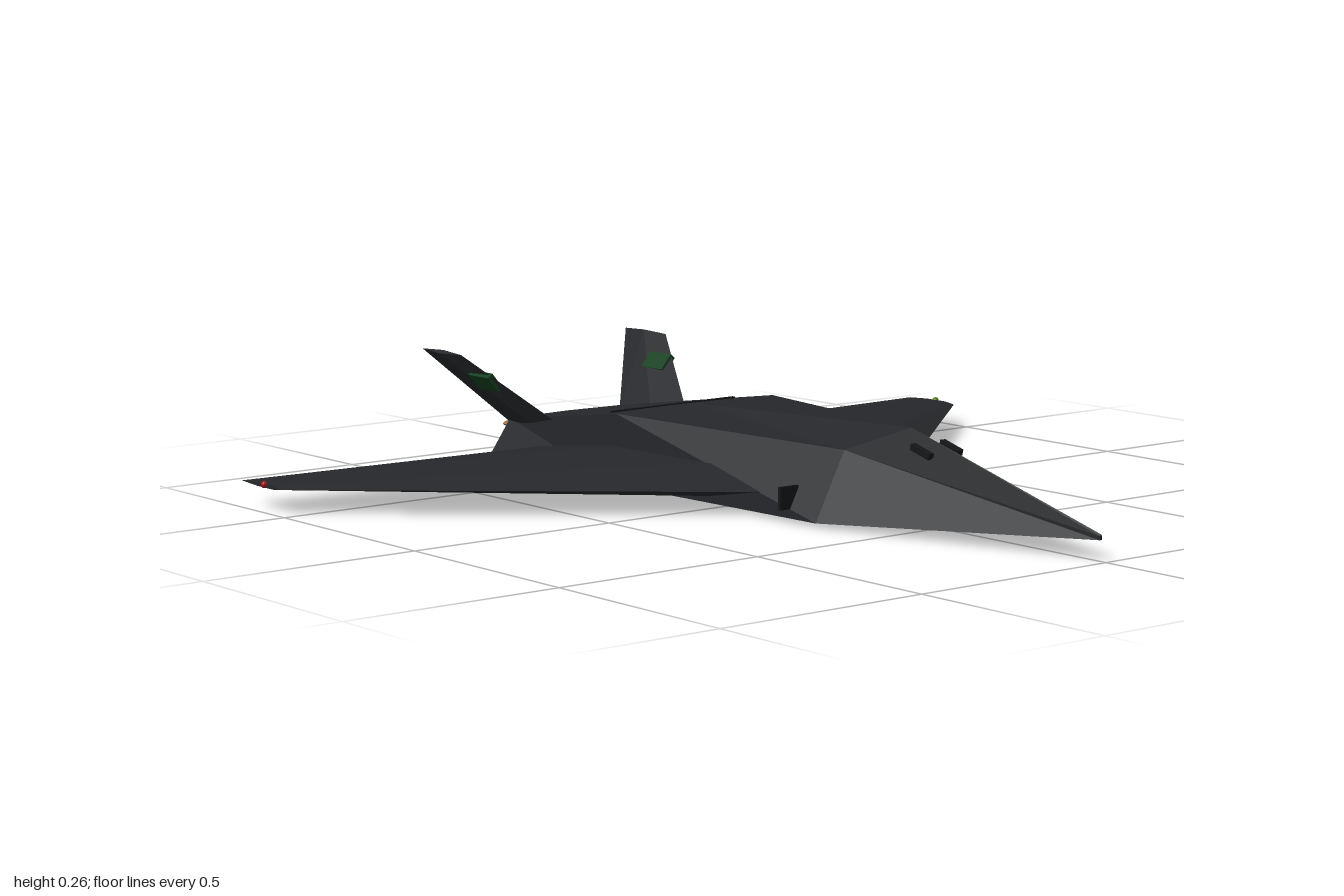
import * as THREE from 'three';

const paint = (color) => new THREE.MeshStandardMaterial({ color, flatShading: true });
const skin = paint(0x25272a);
const dark = paint(0x151618);
const bronze = paint(0x9a7045);
const green = paint(0x14401f);

// Skins a row of equal-sized rings and closes both ends
function loft(rings, mirrored = false) {
  if (mirrored) rings = rings.map((r) => r.map(([x, y, z]) => [x, y, -z]).reverse());
  const n = rings[0].length;
  const pos = [];
  const tri = (a, b, c) => pos.push(...a, ...b, ...c);
  for (let i = 0; i < rings.length - 1; i++) {
    for (let j = 0; j < n; j++) {
      const k = (j + 1) % n;
      tri(rings[i][j], rings[i][k], rings[i + 1][k]);
      tri(rings[i][j], rings[i + 1][k], rings[i + 1][j]);
    }
  }
  const first = rings[0];
  const last = rings[rings.length - 1];
  for (let j = 1; j < n - 1; j++) {
    tri(first[0], first[j + 1], first[j]);
    tri(last[0], last[j], last[j + 1]);
  }
  const g = new THREE.BufferGeometry();
  g.setAttribute('position', new THREE.Float32BufferAttribute(pos, 3));
  g.computeVertexNormals();
  return g;
}

export function createModel() {
  const group = new THREE.Group();
  const add = (name, geometry, material, x = 0, y = 0, z = 0) => {
    const m = new THREE.Mesh(geometry, material);
    m.name = name;
    m.position.set(x, y, z);
    group.add(m);
    return m;
  };
  const box = (name, size, material, at) => add(name, new THREE.BoxGeometry(...size), material, ...at);

  // Faceted fuselage: each station is ridge [x, y], shoulder [x, y, z], chine [x, y, z]
  const stations = [
    [[0.985, 0.056], [0.985, 0.052, 0.003], [0.985, 0.044, 0.003]],
    [[0.41, 0.206], [0.33, 0.16, 0.12], [0.33, 0.01, 0.2]],
    [[-0.33, 0.174], [-0.33, 0.172, 0.228], [-0.33, 0.01, 0.23]],
    [[-0.83, 0.1], [-0.83, 0.098, 0.165], [-0.83, 0.01, 0.228]],
  ];
  add('fuselage', loft(stations.map(([r, s, c]) => [
    [c[0], c[1], -c[2]], c, s, [r[0], r[1], 0], [s[0], s[1], -s[2]],
  ])), skin);

  // Hexagonal wing section between a leading and a trailing edge
  const wingRing = (lead, trail, z, up, down) => {
    const at = (t) => lead + (trail - lead) * t;
    const y = 0.055;
    return [
      [lead, y, z], [at(0.2), y + up, z], [at(0.6), y + up, z],
      [trail, y, z], [at(0.6), y - down, z], [at(0.2), y - down, z],
    ];
  };
  const wing = [
    wingRing(0.2, -0.658, 0.155, 0.046, 0.032),
    wingRing(-0.53, -0.695, 0.985, 0.004, 0.004),
  ];

  // Canted fin: thin diamond section from root to tip
  const finRing = (lead, trail) => {
    const mid = lead.map((v, i) => (v + trail[i]) / 2);
    const t = 0.006;
    return [
      lead, [mid[0], mid[1] + t * 0.63, mid[2] - t * 0.77],
      trail, [mid[0], mid[1] - t * 0.63, mid[2] + t * 0.77],
    ];
  };
  const fin = [
    finRing([-0.62, 0.122, 0.195], [-0.83, 0.085, 0.16]),
    finRing([-0.83, 0.26, 0.303], [-0.99, 0.26, 0.303]),
  ];

  for (const s of [1, -1]) {
    const side = s > 0 ? 'right' : 'left';
    add(side + 'Wing', loft(wing, s < 0), skin);
    add(side + 'Fin', loft(fin, s < 0), skin);

    // Coloured panel lying on the fin
    const panel = box(side + 'FinPanel', [0.08, 0.045, 0.016], green, [-0.8, 0.198, s * 0.256]);
    panel.rotation.x = s * 0.69;

    // Flattened exhaust
    const nozzle = new THREE.CylinderGeometry(1, 1, 0.06, 20).rotateZ(Math.PI / 2).scale(1, 0.012, 0.067);
    add(side + 'Exhaust', nozzle, bronze, -0.83, 0.081, s * 0.098);

    // Side probe, nose sensor and wing-tip light
    box(side + 'Probe', [0.008, 0.05, 0.05], dark, [0.245, 0.055, s * 0.205]);
    box(side + 'NoseSensor', [0.06, 0.014, 0.014], dark, [0.49, 0.168, s * 0.042]).rotation.z = -0.26;
    add(side + 'WingLight', new THREE.SphereGeometry(0.008, 10, 8),
      paint(s > 0 ? 0xa01818 : 0x5a7a20), -0.6, 0.058, s * 0.986);
  }

  // Seam across the back and panel under the belly
  box('dorsalSeam', [0.008, 0.006, 0.36], dark, [-0.414, 0.161, 0]);
  box('bellyPanel', [0.16, 0.014, 0.1], dark, [-0.17, 0.007, 0]);
  return group;
}
